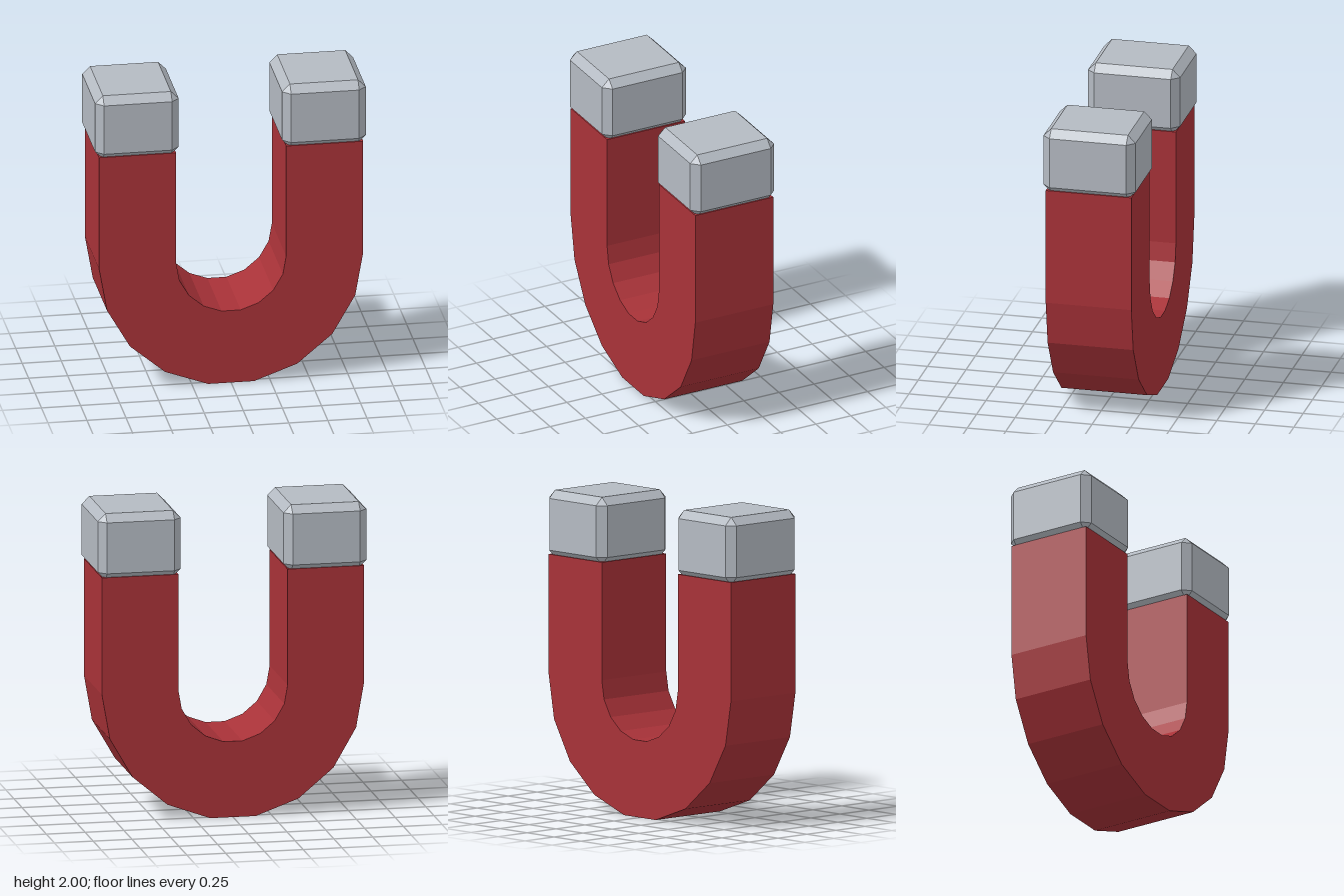
import * as THREE from 'three';
import { ConvexGeometry } from 'three/addons/geometries/ConvexGeometry.js';

const ARM_TOP = 1.59;
const STEPS = 9; // facets around each half circle

// Half circle below the arms, running from +x to -x
function bend(radius, centreY) {
  return Array.from({ length: STEPS + 1 }, (_, i) => {
    const a = (i / STEPS) * Math.PI;
    return new THREE.Vector2(radius * Math.cos(a), centreY - radius * Math.sin(a));
  });
}

// Box with all edges bevelled: each corner becomes a small triangle
function chamferedBox(w, h, d, c) {
  const points = [];
  for (const sx of [-1, 1]) for (const sy of [-1, 1]) for (const sz of [-1, 1]) {
    for (let axis = 0; axis < 3; axis++) {
      const p = [w / 2 - c, h / 2 - c, d / 2 - c];
      p[axis] += c;
      points.push(new THREE.Vector3(sx * p[0], sy * p[1], sz * p[2]));
    }
  }
  return new ConvexGeometry(points);
}

export function createModel() {
  const model = new THREE.Group();
  model.name = 'horseshoeMagnet';
  const red = new THREE.MeshStandardMaterial({ color: 0xa83238, flatShading: true });
  const steel = new THREE.MeshStandardMaterial({ color: 0xb4bac2, flatShading: true });

  // U-shaped body, extruded front to back
  const outer = bend(0.845, 0.832);
  const inner = bend(0.352, 0.838).reverse();
  const outline = new THREE.Shape([
    new THREE.Vector2(0.845, ARM_TOP), ...outer, new THREE.Vector2(-0.845, ARM_TOP),
    new THREE.Vector2(-0.352, ARM_TOP), ...inner, new THREE.Vector2(0.352, ARM_TOP),
  ]);
  const depth = 0.556;
  const bodyGeometry = new THREE.ExtrudeGeometry(outline, { depth, bevelEnabled: false });
  bodyGeometry.translate(0, 0, -depth / 2);
  const body = new THREE.Mesh(bodyGeometry, red);
  body.name = 'body';
  model.add(body);

  // Bevelled steel tips, sunk slightly into the arms
  const tipGeometry = chamferedBox(0.535, 0.43, 0.598, 0.05);
  for (const [name, side] of [['leftTip', 1], ['rightTip', -1]]) {
    const tip = new THREE.Mesh(tipGeometry, steel);
    tip.name = name;
    tip.position.set(side * 0.5985, 1.785, 0);
    model.add(tip);
  }
  return model;
}
